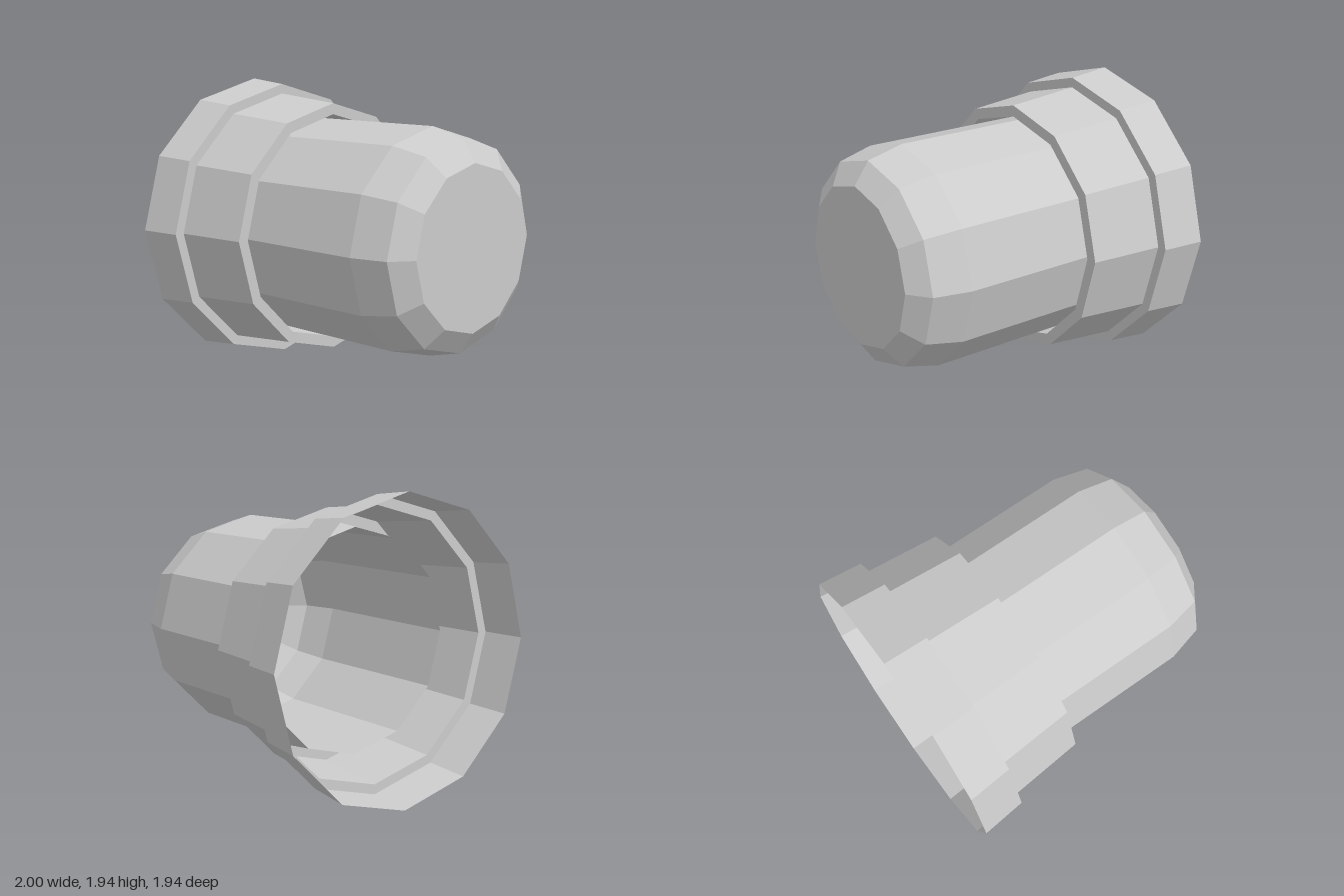
import * as THREE from 'three';

const SIDES = 12;
const AXIS_HEIGHT = 0.97;

export function createModel() {
  const group = new THREE.Group();
  group.name = 'steppedCup';
  const material = new THREE.MeshStandardMaterial({
    color: 0xcccccc, flatShading: true, side: THREE.DoubleSide,
  });

  // Turns a profile of [x, radius] points around the horizontal axis
  function turned(name, profile) {
    const points = profile.map(([x, r]) => new THREE.Vector2(r, x));
    const geometry = new THREE.LatheGeometry(points, SIDES);
    geometry.rotateZ(-Math.PI / 2);
    geometry.translate(0, AXIS_HEIGHT, 0);
    const mesh = new THREE.Mesh(geometry, material);
    mesh.name = name;
    group.add(mesh);
  }

  // Wide open rim with its step down to the collar
  turned('rim', [[-1, 0.97], [-0.71, 0.94], [-0.71, 0.875]]);

  // Collar, its end face and the wall folded back under it
  turned('collar', [[-0.71, 0.875], [-0.21, 0.83], [-0.21, 0.757], [-0.5, 0.727]]);

  // Hollow body, tapered shoulder, chamfer and closed end
  turned('body', [[-0.5, 0.727], [0.66, 0.727], [0.9, 0.667], [1, 0.525], [1, 0]]);

  return group;
}
